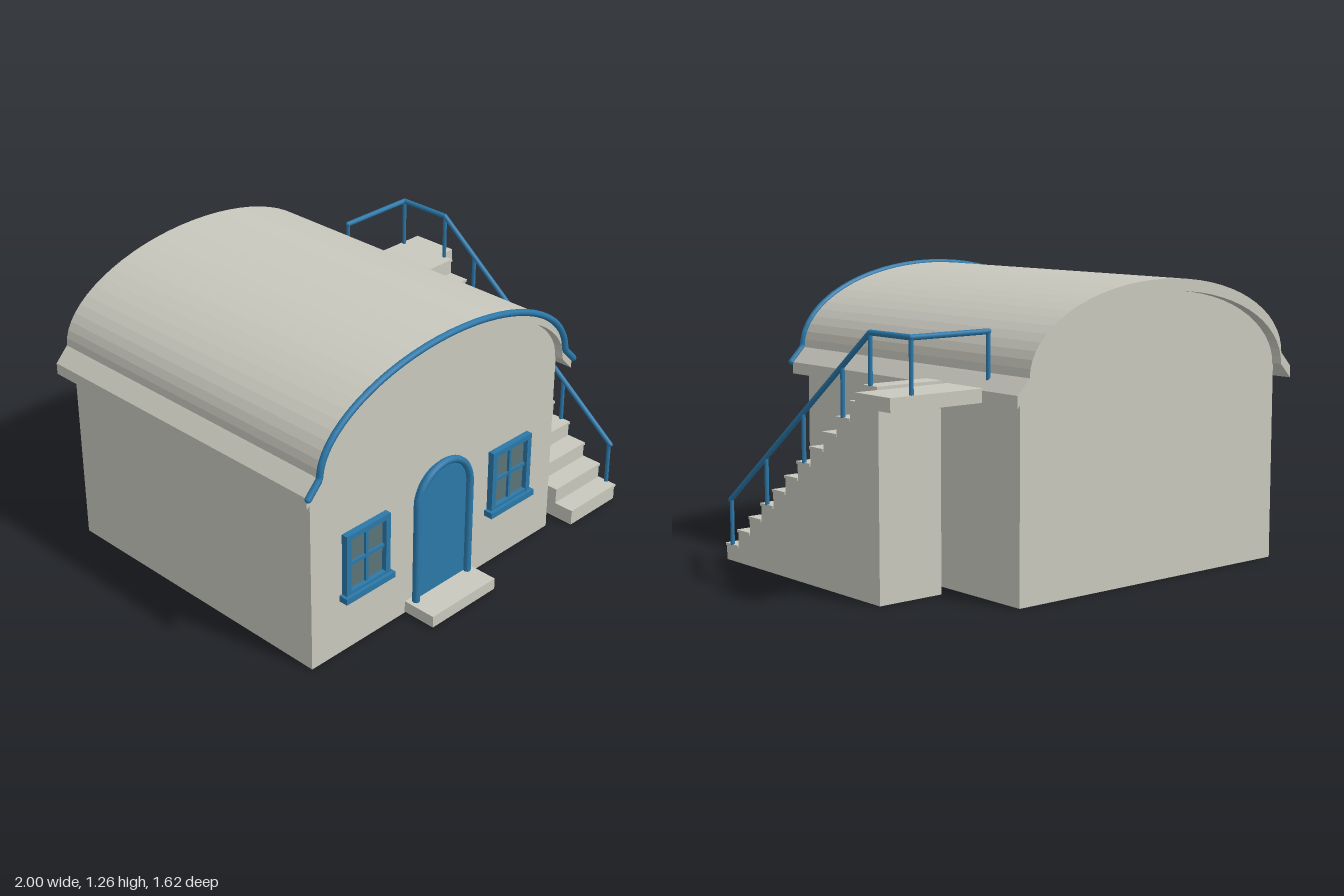
import * as THREE from 'three';

const mat = (name, color, side = THREE.FrontSide) => {
  const m = new THREE.MeshStandardMaterial({ color, side });
  m.name = name;
  return m;
};

export function createModel() {
  const stone = mat('stone', 0xc8c8be);
  const blue = mat('blue paint', 0x2b78a9);
  const glass = mat('window glass', 0x5a7477);
  const house = new THREE.Group();
  house.name = 'house';
  const CX = -0.22; // centre line of the house

  const add = (name, geo, material, parent = house) => {
    const m = new THREE.Mesh(geo, material);
    m.name = name;
    parent.add(m);
    return m;
  };
  // box from its minimum and maximum corners
  const box = (name, a, b, material, parent) =>
    add(name, new THREE.BoxGeometry(b[0] - a[0], b[1] - a[1], b[2] - a[2]), material, parent)
      .position.set((a[0] + b[0]) / 2, (a[1] + b[1]) / 2, (a[2] + b[2]) / 2);
  // outline in x and y pushed from z0 to z1
  const slab = (name, pts, z0, z1, material, parent) =>
    add(name, new THREE.ExtrudeGeometry(new THREE.Shape(pts), { depth: z1 - z0, bevelEnabled: false })
      .translate(0, 0, z0), material, parent);
  // round bar between two points
  const bar = (name, a, b, r, parent) => {
    const p = new THREE.Vector3(...a), q = new THREE.Vector3(...b);
    const m = add(name, new THREE.CylinderGeometry(r, r, p.distanceTo(q), 12), blue, parent);
    m.position.copy(p).lerp(q, 0.5);
    m.quaternion.setFromUnitVectors(new THREE.Vector3(0, 1, 0), q.sub(p).normalize());
  };
  const arc = (cy, rx, ry, n) => Array.from({ length: n + 1 }, (_, i) => {
    const t = Math.PI * (1 - i / n);
    return new THREE.Vector2(CX + rx * Math.cos(t), cy + ry * Math.sin(t));
  });

  // Walls with vaulted gables
  const V = (x, y) => new THREE.Vector2(x, y);
  slab('walls', [V(CX - 0.72, 0), ...arc(0.835, 0.72, 0.362, 32), V(CX + 0.72, 0)], -0.76, 0.65, stone);

  // Barrel roof with flared eaves
  const outer = [V(CX - 0.775, 0.838), V(CX - 0.725, 0.89), ...arc(0.9, 0.715, 0.345, 32),
    V(CX + 0.725, 0.89), V(CX + 0.775, 0.838)];
  const inner = outer.map((p) => V(p.x, p.y - 0.05)).reverse();
  slab('roof', [...outer, ...inner], -0.81, 0.692, stone);

  // Painted edge along the front of the roof
  const edge = new THREE.CurvePath();
  for (let i = 1; i < outer.length; i++) {
    edge.add(new THREE.LineCurve3(new THREE.Vector3(outer[i - 1].x, outer[i - 1].y, 0.7),
      new THREE.Vector3(outer[i].x, outer[i].y, 0.7)));
  }
  add('roofTrim', new THREE.TubeGeometry(edge, 96, 0.014, 10), blue);
  for (const p of [outer[0], outer[outer.length - 1]]) {
    add('roofTrimEnd', new THREE.SphereGeometry(0.014, 10, 8), blue).position.set(p.x, p.y, 0.7);
  }

  // Arched door, frame and doorstep
  const door = new THREE.Group();
  door.name = 'door';
  house.add(door);
  slab('doorPanel', [V(CX - 0.146, 0.05), ...arc(0.5, 0.146, 0.146, 24), V(CX + 0.146, 0.05)],
    0.645, 0.672, blue, door);
  const frame = new THREE.CurvePath();
  const path = [V(CX - 0.157, 0.05), ...arc(0.5, 0.157, 0.157, 24), V(CX + 0.157, 0.05)];
  for (let i = 1; i < path.length; i++) {
    frame.add(new THREE.LineCurve3(new THREE.Vector3(path[i - 1].x, path[i - 1].y, 0.682),
      new THREE.Vector3(path[i].x, path[i].y, 0.682)));
  }
  add('doorFrame', new THREE.TubeGeometry(frame, 90, 0.016, 10), blue, door);
  box('doorstep', [-0.41, 0.005, 0.64], [-0.03, 0.057, 0.807], stone);

  // Windows, one each side of the door
  for (const x of [CX - 0.43, CX + 0.43]) {
    const w = new THREE.Group();
    w.name = 'window';
    house.add(w);
    box('pane', [x - 0.11, 0.27, 0.649], [x + 0.11, 0.545, 0.656], glass, w);
    for (const s of [-1, 1]) {
      box('windowSide', [x + s * 0.11 - 0.0125, 0.27, 0.645], [x + s * 0.11 + 0.0125, 0.555, 0.678], blue, w);
    }
    box('windowHead', [x - 0.122, 0.532, 0.645], [x + 0.122, 0.556, 0.678], blue, w);
    box('windowFoot', [x - 0.11, 0.27, 0.645], [x + 0.11, 0.29, 0.677], blue, w);
    box('mullion', [x - 0.007, 0.28, 0.645], [x + 0.007, 0.54, 0.668], blue, w);
    box('crossbar', [x - 0.11, 0.403, 0.645], [x + 0.11, 0.417, 0.667], blue, w);
    box('sill', [x - 0.137, 0.25, 0.645], [x + 0.137, 0.277, 0.692], blue, w);
  }

  // Outside stair: solid steps with thin treads
  const stairs = new THREE.Group();
  stairs.name = 'stairs';
  house.add(stairs);
  const RUN = 0.0922, RISE = 0.0714;
  for (let i = 0; i < 12; i++) {
    const z = 0.725 - i * RUN, y = (i + 1) * RISE;
    box('step', [0.583, 0, z - RUN], [0.888, y - 0.008, z], stone, stairs);
    box('tread', [0.579, y - 0.01, z - RUN], [0.892, y + 0.002, z + 0.004], stone, stairs);
  }
  box('landing', [0.5, 0.79, -0.6], [0.995, 0.846, -0.378], stone, stairs);

  // Handrail and posts
  const rail = new THREE.Group();
  rail.name = 'railing';
  house.add(rail);
  const RX = 0.887, top = 1.063;
  const corners = [[RX, 0.267, 0.688], [RX, top, -0.332], [RX, top, -0.588], [0.512, top, -0.588]];
  corners.forEach((c, i) => {
    add('railJoint', new THREE.SphereGeometry(0.0115, 12, 8), blue, rail).position.set(...c);
    if (i) bar('handrail', corners[i - 1], c, 0.0115, rail);
  });
  const posts = [[RX, 0.071, 0.275, 0.68], [RX, 0.285, 0.49, 0.404], [RX, 0.499, 0.705, 0.126],
    [RX, 0.714, 0.92, -0.148], [RX, 0.857, top, -0.332], [RX, 0.84, top, -0.588], [0.512, 0.84, top, -0.588]];
  for (const [x, y0, y1, z] of posts) bar('post', [x, y0, z], [x, y1, z], 0.009, rail);

  return house;
}
